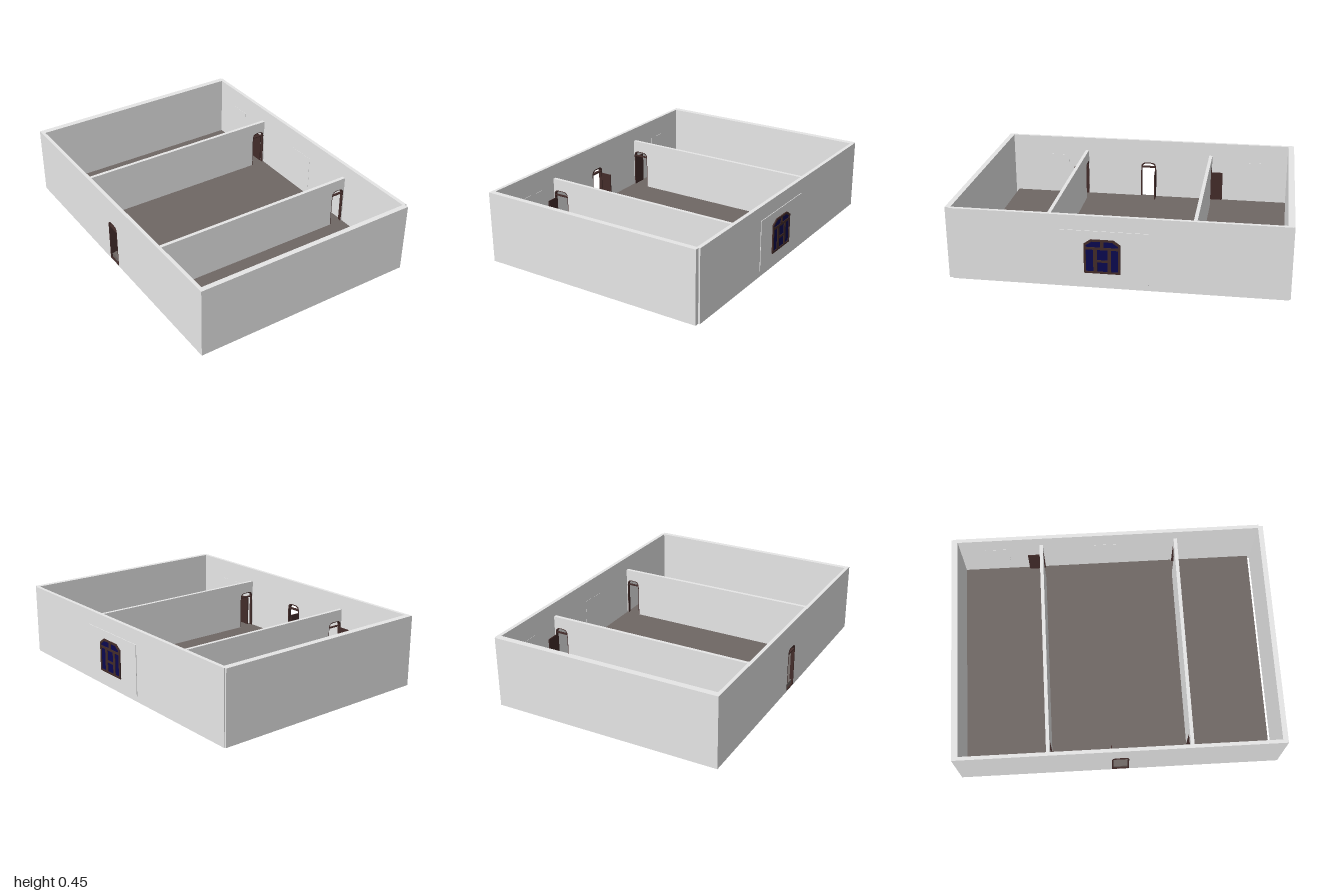
import * as THREE from 'three';

const mat = (name, color) => {
  const m = new THREE.MeshStandardMaterial({ color });
  m.name = name;
  return m;
};

export function createModel() {
  const model = new THREE.Group();
  const wallMat = mat('wall grey', 0xe7e7e7);
  const floorMat = mat('floor taupe', 0x6f6764);
  const woodMat = mat('dark wood', 0x432c2a);
  const glassMat = mat('navy glass', 0x0a0850);

  const add = (name, geo, material, parent = model) => {
    const mesh = new THREE.Mesh(geo, material);
    mesh.name = name;
    parent.add(mesh);
    return mesh;
  };
  // Box given by its lower and upper limits on each axis
  const box = (name, material, [x0, x1], [y0, y1], [z0, z1], parent) =>
    add(name, new THREE.BoxGeometry(x1 - x0, y1 - y0, z1 - z0), material, parent)
      .position.set((x0 + x1) / 2, (y0 + y1) / 2, (z0 + z1) / 2);

  // Opening outline with cut or rounded upper corners
  const outline = (Type, a0, a1, y0, y1, cutX, cutY, round) => {
    const p = new Type();
    p.moveTo(a0, y0);
    p.lineTo(a1, y0);
    p.lineTo(a1, y1 - cutY);
    if (round) p.quadraticCurveTo(a1, y1, a1 - cutX, y1);
    else p.lineTo(a1 - cutX, y1);
    p.lineTo(a0 + cutX, y1);
    if (round) p.quadraticCurveTo(a0, y1, a0, y1 - cutY);
    else p.lineTo(a0, y1 - cutY);
    p.closePath();
    return p;
  };
  const arch = (Type, a0, a1, y0, y1) => outline(Type, a0, a1, y0, y1, 0.035, 0.035, true);
  const rect = (a0, a1, y0, y1) => outline(THREE.Shape, a0, a1, y0, y1, 0, 0, false);
  const extrude = (shape, depth) =>
    new THREE.ExtrudeGeometry(shape, { depth, bevelEnabled: false, curveSegments: 5 });
  // Extrusion whose drawing plane is z-y and whose outer face lies at x
  const extrudeX = (shape, depth, x) => extrude(shape, depth).rotateY(-Math.PI / 2).translate(x, 0, 0);

  const FLOOR = 0.04, TOP = 0.45, BASE = 0.004, SILL = 0.008, DOOR = 0.288;

  // Floor slab and outer walls
  box('floor', floorMat, [-0.72, 0.705], [0, FLOOR], [-0.962, 0.95]);
  box('frontWall', wallMat, [-0.73, 0.706], [BASE, TOP], [0.968, 1]);
  box('backWall', wallMat, [-0.73, 0.711], [BASE, TOP], [-1, -0.961]);
  box('rightWall', wallMat, [0.693, 0.7165], [BASE, TOP], [-0.99, 0.974]);
  const sideShape = rect(-0.961, 0.968, BASE, TOP);
  sideShape.holes.push(arch(THREE.Path, -0.05, 0.055, SILL, DOOR));
  add('leftWall', extrudeX(sideShape, 0.022, -0.708), wallMat);

  // Arched door frame lining
  const frameShape = (a0, a1, t) => {
    const s = arch(THREE.Shape, a0, a1, SILL, DOOR);
    s.holes.push(arch(THREE.Path, a0 + t, a1 - t, SILL + t, DOOR - t));
    return s;
  };
  const entrance = new THREE.Group();
  entrance.name = 'entranceDoor';
  model.add(entrance);
  add('entranceFrame', extrudeX(frameShape(-0.05, 0.055, 0.007), 0.022, -0.708), woodMat, entrance);
  box('entranceTransom', woodMat, [-0.729, -0.709], [0.25, 0.258], [-0.045, 0.05], entrance);
  box('entranceLeaf', woodMat, [-0.71, -0.637], [FLOOR, 0.24], [-0.053, -0.047], entrance);

  // Partition walls with an arched doorway at each end
  const doorways = [[-0.705, -0.597], [0.597, 0.687]];
  for (const z of [-0.434, 0.439]) {
    const shape = rect(-0.709, 0.694, BASE, 0.361);
    for (const [a, b] of doorways) shape.holes.push(arch(THREE.Path, a, b, SILL, DOOR));
    add('partition', extrude(shape, 0.022).translate(0, 0, z - 0.011), wallMat);
    for (const [a, b] of doorways) {
      add('doorFrame', extrude(frameShape(a, b, 0.005), 0.02).translate(0, 0, z - 0.01), woodMat);
      box('doorTransom', woodMat, [a + 0.003, b - 0.003], [0.25, 0.256], [z - 0.008, z + 0.008]);
    }
  }

  // Open door leaves
  for (const [x, z0, z1] of [[-0.703, -0.52, -0.442], [-0.687, 0.453, 0.53], [0.681, -0.53, -0.447]])
    box('doorLeaf', woodMat, [x - 0.003, x + 0.003], [FLOOR, 0.24], [z0, z1]);

  // Slightly raised wall panels
  box('outerPanel', wallMat, [0.714, 0.7205], [0.04, 0.36], [-0.19, 0.32]);
  for (const [z0, z1] of [[-0.81, -0.64], [0.57, 0.75]])
    box('innerPanel', wallMat, [-0.709, -0.7065], [0.1, 0.32], [z0, z1]);
  for (const [z0, z1] of [[-0.8, -0.65], [-0.09, 0.09]])
    box('innerPanel', wallMat, [0.6918, 0.694], [0.1, 0.32], [z0, z1]);

  // Window with cut upper corners
  const win = new THREE.Group();
  win.name = 'window';
  model.add(win);
  const pane = outline(THREE.Shape, -0.025, 0.179, 0.104, 0.306, 0.04, 0.028, false);
  add('windowGlass', extrudeX(pane, 0.005, 0.724), glassMat, win);
  const rim = outline(THREE.Shape, -0.029, 0.183, 0.1, 0.31, 0.04, 0.028, false);
  rim.holes.push(outline(THREE.Path, -0.017, 0.171, 0.112, 0.298, 0.035, 0.024, false));
  add('windowRim', extrudeX(rim, 0.009, 0.728), woodMat, win);
  const bar = (z, y) => box('windowBar', woodMat, [0.719, 0.7275], y, z, win);
  bar([-0.024, 0.178], [0.248, 0.263]);
  bar([0.105, 0.128], [0.105, 0.25]);
  bar([0.024, 0.045], [0.105, 0.25]);
  bar([0.04, 0.11], [0.17, 0.184]);
  bar([0.067, 0.087], [0.26, 0.305]);

  return model;
}
